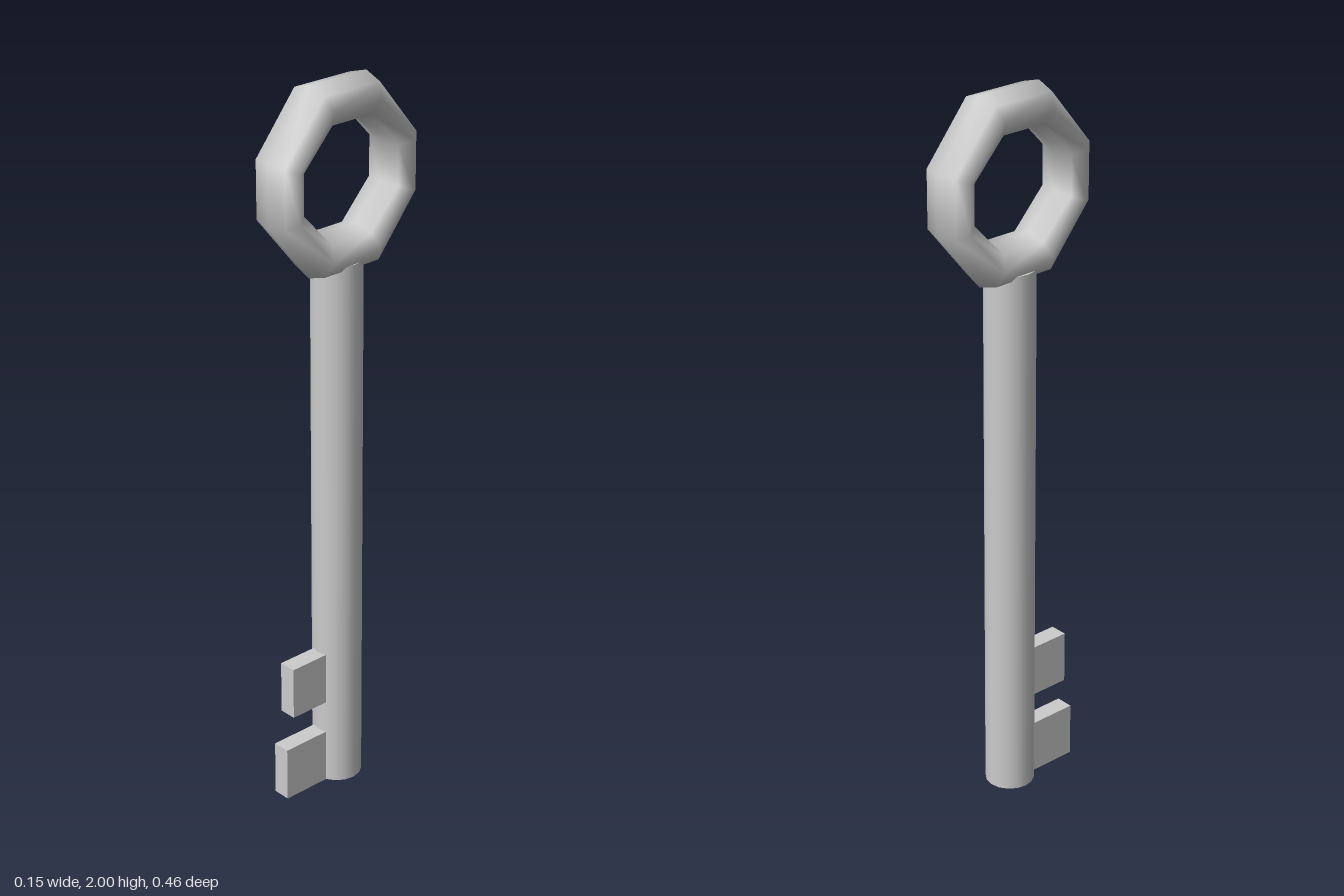
import * as THREE from 'three';

const material = new THREE.MeshStandardMaterial({ color: 0xcccccc });

function addMesh(group, name, geometry, x, y, z) {
  const mesh = new THREE.Mesh(geometry, material);
  mesh.name = name;
  mesh.position.set(x, y, z);
  group.add(mesh);
  return mesh;
}

// Eight-sided ring in the YZ plane, a little flattened, with an oval tube
function ringGeometry() {
  const geometry = new THREE.TorusGeometry(1, 0.25, 8, 8);
  geometry.rotateZ(Math.PI / 8);
  const pos = geometry.attributes.position;
  for (let i = 0; i < pos.count; i++) {
    const a = pos.getX(i), b = pos.getY(i), side = pos.getZ(i) / 0.25;
    const radius = Math.hypot(a, b);
    const out = (radius - 1) / 0.25; // -1 on the inner edge, +1 on the outer edge
    const top = Math.abs(b) > Math.abs(a);
    const z = top ? 0.0785 + 0.0185 * out : 0.189 + 0.042 * out;
    const y = top ? 0.195 + 0.055 * out : 0.0665 + 0.0165 * out;
    pos.setXYZ(i, side * 0.077, Math.sign(b) * y, -Math.sign(a) * z);
  }
  // Smooth normals, shared across the seams
  geometry.computeVertexNormals();
  const normal = geometry.attributes.normal;
  const sums = new Map();
  const key = (i) => [pos.getX(i), pos.getY(i), pos.getZ(i)].map((v) => Math.round(v * 1e4)).join();
  for (let i = 0; i < pos.count; i++) {
    const k = key(i);
    if (!sums.has(k)) sums.set(k, new THREE.Vector3());
    sums.get(k).add(new THREE.Vector3().fromBufferAttribute(normal, i));
  }
  for (let i = 0; i < pos.count; i++) {
    const n = sums.get(key(i)).clone().normalize();
    normal.setXYZ(i, n.x, n.y, n.z);
  }
  return geometry;
}

export function createModel() {
  const key = new THREE.Group();
  key.name = 'key';

  // Handle ring
  addMesh(key, 'handleRing', ringGeometry(), 0, 1.75, 0);

  // Round shaft, ending inside the ring's lower side
  addMesh(key, 'shaft', new THREE.CylinderGeometry(0.068, 0.068, 1.53, 16), -0.002, 0.765, 0);

  // Two flat teeth: bottom, top, reach
  const teeth = [
    ['lowerTooth', 0, 0.155, 0.205],
    ['upperTooth', 0.25, 0.4, 0.18],
  ];
  for (const [name, bottom, top, reach] of teeth) {
    addMesh(key, name, new THREE.BoxGeometry(0.05, top - bottom, reach - 0.03),
      -0.002, (bottom + top) / 2, (reach + 0.03) / 2);
  }
  return key;
}
